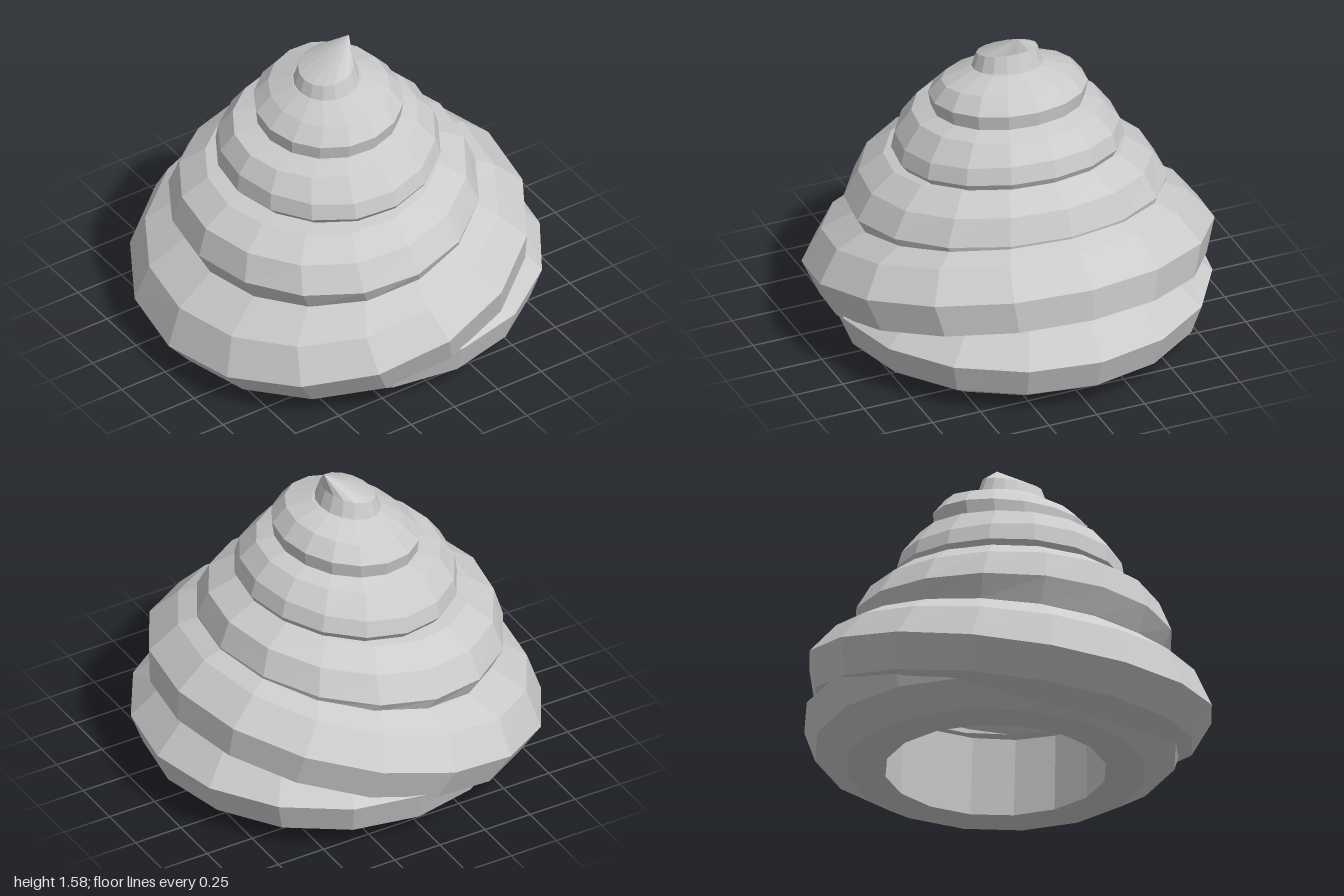
import * as THREE from 'three';

const SIDES = 16;
const TWIST = 0.03;
const material = new THREE.MeshStandardMaterial({ color: 0xcccccc, flatShading: true, side: THREE.DoubleSide });

// Each row is a tilted ellipse: [left x, left y, right x, right y, half depth, sag at front and back]
const PARTS = {
  // Thick base ring with an open, flat underside
  baseRing: [
    [-0.46, 0.36, 0.58, 0.42, 0.53],
    [-0.465, 0.005, 0.605, 0.025, 0.535],
    [-0.64, 0.005, 0.78, 0.03, 0.73],
    [-0.8, 0.1, 0.94, 0.13, 0.88],
    [-0.86, 0.27, 1, 0.29, 0.93, 0.01],
    [-0.7, 0.4, 0.86, 0.45, 0.76, 0.02],
    [-0.58, 0.42, 0.7, 0.5, 0.62],
  ],
  // Shrinking coils, each tucked under the next
  lowerRing: [
    [-0.7, 0.02, 0.74, 0.44, 0.74],
    [-0.885, 0.045, 0.89, 0.465, 0.935, 0.01],
    [-1, 0.18, 0.885, 0.63, 1],
    [-0.935, 0.38, 0.74, 0.755, 0.89, 0.02],
    [-0.75, 0.52, 0.62, 0.8, 0.74, 0.02],
    [-0.6, 0.56, 0.5, 0.82, 0.6],
  ],
  middleRing: [
    [-0.62, 0.55, 0.55, 0.8, 0.62],
    [-0.755, 0.52, 0.645, 0.765, 0.75, 0.02],
    [-0.82, 0.645, 0.65, 0.8, 0.785, 0.03],
    [-0.78, 0.79, 0.6, 0.93, 0.71, 0.04],
    [-0.65, 0.88, 0.46, 1, 0.59, 0.03],
    [-0.5, 0.9, 0.36, 1.01, 0.46, 0.02],
  ],
  upperRing: [
    [-0.48, 0.92, 0.4, 1.02, 0.48, 0.02],
    [-0.555, 0.895, 0.455, 0.995, 0.54, 0.02],
    [-0.595, 0.94, 0.475, 1.035, 0.565, 0.03],
    [-0.585, 1.03, 0.45, 1.12, 0.545, 0.04],
    [-0.52, 1.12, 0.37, 1.2, 0.46, 0.01],
    [-0.39, 1.15, 0.26, 1.23, 0.35],
  ],
  topRing: [
    [-0.34, 1.16, 0.24, 1.23, 0.34],
    [-0.4, 1.155, 0.28, 1.22, 0.375],
    [-0.405, 1.225, 0.29, 1.3, 0.39],
    [-0.33, 1.3, 0.22, 1.38, 0.33],
    [-0.23, 1.365, 0.1, 1.415, 0.18],
    [-0.18, 1.37, 0.05, 1.415, 0.13],
  ],
  // Bent point
  tip: [
    [-0.23, 1.35, 0.09, 1.395, 0.18],
    [-0.2, 1.43, 0.055, 1.5, 0.15],
    [0.06, 1.59, 0.06, 1.59, 0],
  ],
};

// Joins successive ellipses into a faceted skin
function loft(name, rows) {
  const positions = [];
  const index = [];
  rows.forEach(([xL, yL, xR, yR, rz, sag = 0], j) => {
    for (let i = 0; i < SIDES; i++) {
      const a = (i / SIDES) * Math.PI * 2 - TWIST;
      const t = (1 + Math.cos(a)) / 2;
      const s = Math.sin(a);
      positions.push(xL + (xR - xL) * t, yL + (yR - yL) * t - sag * s * s, rz * s);
      if (j === rows.length - 1) continue;
      const p = j * SIDES + i;
      const q = j * SIDES + ((i + 1) % SIDES);
      index.push(p, p + SIDES, q, q, p + SIDES, q + SIDES);
    }
  });
  const geometry = new THREE.BufferGeometry();
  geometry.setAttribute('position', new THREE.Float32BufferAttribute(positions, 3));
  geometry.setIndex(index);
  geometry.computeVertexNormals();
  const mesh = new THREE.Mesh(geometry, material);
  mesh.name = name;
  return mesh;
}

export function createModel() {
  const group = new THREE.Group();
  group.name = 'swirl';
  for (const [name, rows] of Object.entries(PARTS)) group.add(loft(name, rows));
  return group;
}
